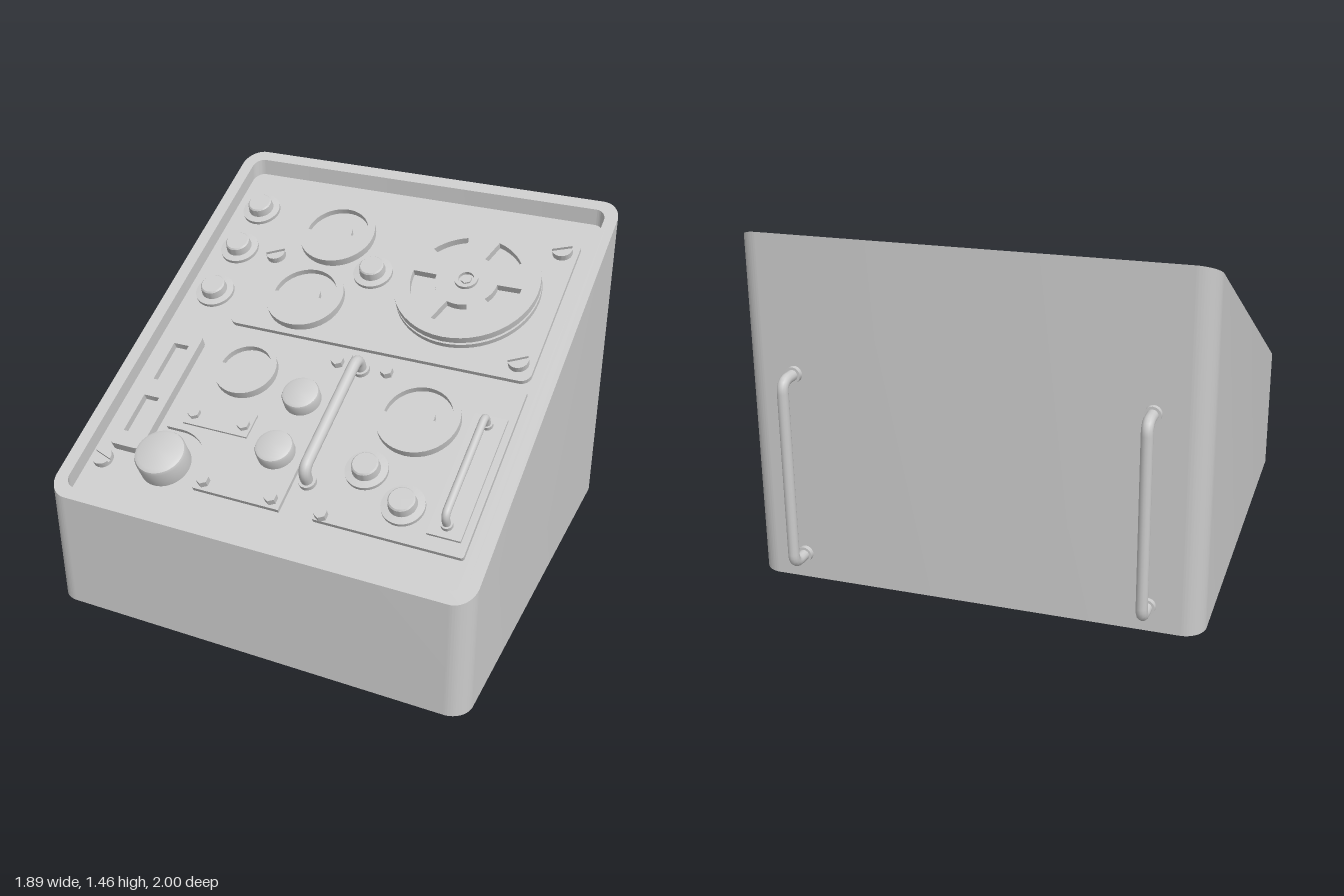
import * as THREE from 'three';
import { toCreasedNormals } from 'three/addons/utils/BufferGeometryUtils.js';

const SLOPE = 0.496, A = Math.atan(SLOPE), C = Math.cos(A);
const rimY = (z) => 0.535 + (1 - z) * SLOPE;
const DEPTH = 0.073; // vertical depth of the recessed panel
const T = 0.02; // thickness of the mounted plates

export function createModel() {
  const model = new THREE.Group();
  const panel = new THREE.Group(); // local y = panel normal, local z = down the slope
  panel.name = 'controlPanel';
  panel.position.y = rimY(0) - DEPTH;
  panel.rotation.x = A;
  model.add(panel);
  const mat = new THREE.MeshStandardMaterial({ color: 0xcccccc });

  const add = (name, geo, parent, x = 0, y = 0, z = 0) => {
    const m = new THREE.Mesh(geo, mat);
    m.name = name;
    m.position.set(x, y, z);
    parent.add(m);
    return m;
  };
  // z on the panel is given as horizontal depth and stretched along the slope
  const put = (name, geo, x, z, h = 0) => add(name, geo, panel, x, h, z / C);

  const roundRect = (x0, x1, z0, z1, r, k = 1, Type = THREE.Shape) => {
    const s = new Type(), b = -z1 / k, t = -z0 / k;
    s.moveTo(x0 + r, b);
    s.absarc(x1 - r, b + r, r, -Math.PI / 2, 0);
    s.absarc(x1 - r, t - r, r, 0, Math.PI / 2);
    s.absarc(x0 + r, t - r, r, Math.PI / 2, Math.PI);
    s.absarc(x0 + r, b + r, r, Math.PI, Math.PI * 1.5);
    s.closePath();
    return s;
  };
  const disc = (r, Type = THREE.Shape) => new Type().absarc(0, 0, r, 0, Math.PI * 2);
  const rawSlab = (shape, t) =>
    new THREE.ExtrudeGeometry(shape, { depth: t, bevelEnabled: false, curveSegments: 24 }).rotateX(-Math.PI / 2);
  const slab = (shape, t) => toCreasedNormals(rawSlab(shape, t), 0.5);
  const cyl = (r, h, n = 40) => toCreasedNormals(new THREE.CylinderGeometry(r, r, h, n).translate(0, h / 2, 0), 0.5);
  const lathe = (pts) =>
    toCreasedNormals(new THREE.LatheGeometry(pts.map((p) => new THREE.Vector2(...p)), 40), 0.5);

  // Sloped cabinet: extrusions whose top follows the slope
  const sloped = (shape, drop) => {
    const g = rawSlab(shape, 1), p = g.attributes.position;
    for (let i = 0; i < p.count; i++) if (p.getY(i) > 0.5) p.setY(i, rimY(p.getZ(i)) - drop);
    return toCreasedNormals(g, 0.5);
  };
  const shell = roundRect(-0.943, 0.943, -0.874, 1, 0.09);
  shell.holes.push(roundRect(-0.885, 0.885, -0.825, 0.95, 0.05, 1, THREE.Path));
  add('cabinetShell', sloped(shell, 0), model);
  add('recessedPanel', sloped(roundRect(-0.885, 0.885, -0.825, 0.95, 0.05), DEPTH), model);

  // U-shaped bar along z from 0 to len, standing on y = 0
  const handle = (name, parent, len, h, r, bend) => {
    const g = new THREE.Group(), v = (y, z) => new THREE.Vector3(0, y, z), path = new THREE.CurvePath();
    g.name = name;
    path.add(new THREE.LineCurve3(v(0, 0), v(h - bend, 0)));
    path.add(new THREE.QuadraticBezierCurve3(v(h - bend, 0), v(h, 0), v(h, bend)));
    path.add(new THREE.LineCurve3(v(h, bend), v(h, len - bend)));
    path.add(new THREE.QuadraticBezierCurve3(v(h, len - bend), v(h, len), v(h - bend, len)));
    path.add(new THREE.LineCurve3(v(h - bend, len), v(0, len)));
    add('bar', new THREE.TubeGeometry(path, 80, r, 14), g);
    for (const z of [0, len]) add('foot', cyl(r * 1.45, 0.02, 20), g, 0, 0, z);
    parent.add(g);
    return g;
  };

  // Carrying handles on the back
  for (const x of [-0.725, 0.725]) {
    const g = handle('backHandle', model, 0.79, 0.103, 0.023, 0.045);
    g.rotation.x = -Math.PI / 2;
    g.position.set(x, 0.11, -0.874);
  }

  // Mounted plates
  put('upperPlate', slab(roundRect(-0.6, 0.82, -0.71, 0.012, 0.045, C), T), 0, 0);
  put('rightPlate', slab(roundRect(0.187, 0.83, 0.05, 0.777, 0.012, C), T), 0, 0);
  const left = new THREE.Shape(), cx = -0.535, cy = -0.71 / C, cr = 0.178;
  left.moveTo(0.04, -0.777 / C);
  left.lineTo(0.04, -0.05 / C);
  left.lineTo(-0.61, -0.05 / C);
  left.lineTo(-0.61, cy + cr);
  left.absarc(cx, cy, cr, Math.PI / 2, 0, true);
  left.lineTo(cx + cr, -0.777 / C);
  left.closePath();
  put('leftPlate', slab(left, T), 0, 0);

  // Dial meters: raised ring with a sunken half window
  const meter = (x, z, r, hub) => {
    const face = disc(r), w = new THREE.Path(), R = r * 0.82, e = hub ? -0.08 : 0;
    w.absarc(0, 0, R, e, Math.PI - e);
    if (hub) w.absarc(0, 0, hub, Math.PI - e, e, true);
    w.closePath();
    face.holes.push(w);
    put('meterBack', cyl(r * 0.97, 0.015), x, z, T);
    put('meterFace', slab(face, 0.032), x, z, T + 0.01);
  };
  meter(-0.288, -0.516, 0.178, 0.07);
  meter(-0.288, -0.168, 0.178, 0.07);
  meter(0.447, 0.282, 0.178, 0.07);
  meter(-0.38, 0.235, 0.14, 0);

  // Tape reel: two flanges, the top one with five openings
  const RX = 0.41, RZ = -0.366, flange = disc(0.325);
  for (let i = 0; i < 5; i++) {
    const a = -Math.PI / 2 + (i * Math.PI * 2) / 5, d = 0.33, hole = new THREE.Path();
    hole.absarc(0, 0, 0.25, a - d, a + d);
    hole.absarc(0, 0, 0.14, a + d, a - d, true);
    hole.closePath();
    flange.holes.push(hole);
  }
  put('reelLowerFlange', cyl(0.325, 0.022, 64), RX, RZ, T);
  put('reelCore', cyl(0.13, 0.03), RX, RZ, T + 0.015);
  put('reelUpperFlange', slab(flange, 0.032), RX, RZ, 0.055);
  const ring = disc(0.052);
  ring.holes.push(disc(0.034, THREE.Path));
  put('reelHub', slab(ring, 0.015), RX, RZ, 0.087);
  put('reelSpindle', cyl(0.025, 0.01, 6), RX, RZ, 0.087);

  // Stepped knobs
  const knob = lathe([[0.068, 0], [0.068, 0.018], [0.09, 0.02], [0.09, 0.036], [0.06, 0.04],
    [0.056, 0.074], [0.05, 0.08], [0, 0.08]]);
  for (const [x, z, h] of [[-0.735, -0.595, 0], [-0.735, -0.365, 0], [-0.735, -0.12, 0],
    [-0.035, -0.348, T], [0.333, 0.545, T], [0.535, 0.648, T]]) put('knob', knob, x, z, h);

  // Push buttons and the large corner knob
  const button = lathe([[0.082, 0], [0.082, 0.045], [0.078, 0.054], [0.066, 0.06], [0, 0.06]]);
  for (const z of [0.3, 0.55]) put('pushButton', button, -0.08, z, T);
  put('largeKnob', lathe([[0.112, 0], [0.112, 0.08], [0.107, 0.092], [0.092, 0.1], [0, 0.1]]), -0.535, 0.7);

  // Slotted screws: two half heads on a washer
  const half = new THREE.Shape().absarc(0, 0, 0.045, 0.15, Math.PI - 0.15);
  half.closePath();
  const halfHead = slab(half, 0.015);
  for (const [x, z, h, turn] of [[-0.54, -0.365, T, 0.5], [0.75, -0.635, T, 0.4],
    [0.75, -0.065, T, 0.5], [-0.82, 0.745, 0, -0.3]]) {
    put('screwHead', cyl(0.045, 0.016, 28), x, z, h);
    for (const s of [0, Math.PI]) put('screwHalf', halfHead, x, z, h + 0.014).rotation.y = turn + s;
  }

  // Small label plate and hex bolts
  put('labelPlate', slab(roundRect(-0.545, -0.235, 0.413, 0.522, 0.004, C), 0.01), 0, 0, T);
  const bolt = cyl(0.028, 0.03, 6);
  for (const [x, z] of [[-0.51, 0.475], [-0.27, 0.475], [-0.005, 0.102], [-0.32, 0.742],
    [-0.005, 0.742], [0.225, 0.102], [0.225, 0.755]]) put('hexBolt', bolt, x, z, T);

  // Switch module with two windows
  const frame = roundRect(-0.82, -0.655, 0.118, 0.69, 0.035, C);
  for (const [a, b] of [[0.185, 0.37], [0.45, 0.625]])
    frame.holes.push(roundRect(-0.775, -0.7, a, b, 0.003, C, THREE.Path));
  put('switchBase', slab(roundRect(-0.81, -0.665, 0.13, 0.68, 0.03, C), 0.012), 0, 0);
  put('switchFrame', slab(frame, 0.045), 0, 0);

  // Panel handles
  const big = handle('centreHandle', panel, 0.53 / C, 0.092, 0.026, 0.05);
  big.position.set(0.1, 0, 0.1 / C);
  put('handlePlate', slab(roundRect(0.657, 0.8, 0.195, 0.722, 0.004, C), 0.012), 0, 0, T);
  const small = handle('sideHandle', panel, 0.435 / C, 0.075, 0.017, 0.035);
  small.position.set(0.727, T + 0.01, 0.24 / C);

  return model;
}
